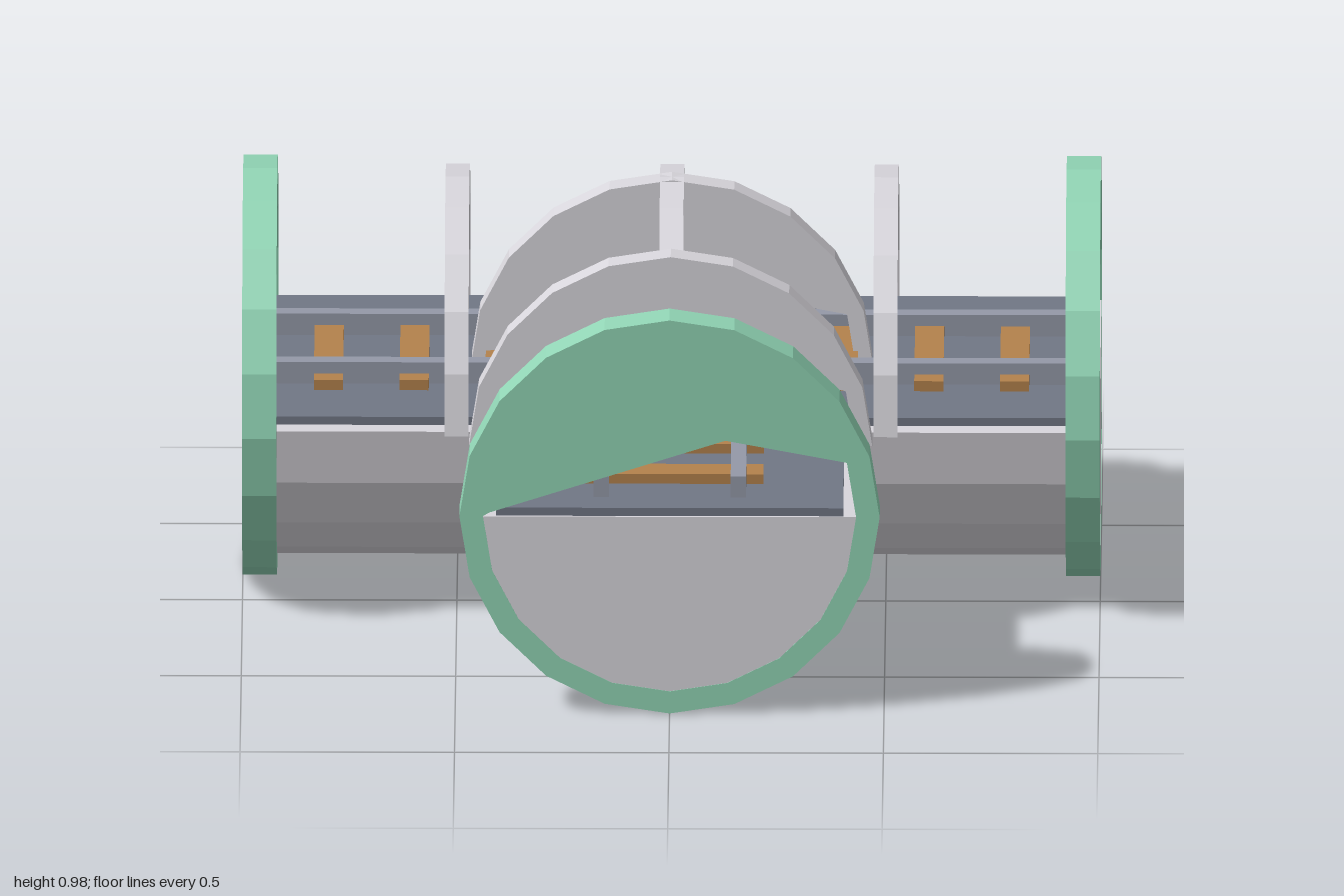
import * as THREE from 'three';

const SIDES = 20, CY = 0.49, CZ = -0.255;

// Points on a circle, from step a to step b of a 20-sided polygon
function arc(r, a, b) {
  const pts = [], dir = Math.sign(b - a);
  for (let i = a; i !== b + dir; i += dir) {
    const t = (i / SIDES) * Math.PI * 2;
    pts.push(new THREE.Vector2(Math.cos(t) * r, Math.sin(t) * r));
  }
  return pts;
}

function extrude(shape, z0, z1) {
  const g = new THREE.ExtrudeGeometry(shape, { depth: z1 - z0, bevelEnabled: false });
  return g.translate(0, 0, z0);
}

export function createModel() {
  const model = new THREE.Group();
  const mat = (name, color) => {
    const m = new THREE.MeshStandardMaterial({ color, side: THREE.DoubleSide });
    m.name = name;
    return m;
  };
  const grey = mat('light grey', 0xd8d6dc);
  const green = mat('mint green', 0x91d5b5);
  const slate = mat('slate floor', 0x717785);
  const steel = mat('rail steel', 0x9499a8);
  const wood = mat('sleeper wood', 0xb3824c);

  const add = (parent, name, geo, material) => {
    const m = new THREE.Mesh(geo, material);
    m.name = name;
    parent.add(m);
    return m;
  };
  const box = (parent, name, material, x0, x1, y0, y1, z0, z1) =>
    add(parent, name, new THREE.BoxGeometry(x1 - x0, y1 - y0, z1 - z0)
      .translate((x0 + x1) / 2, (y0 + y1) / 2, (z0 + z1) / 2), material);

  // Cross-sections shared by both tubes
  const ringShape = new THREE.Shape(arc(0.49, 0, SIDES - 1));
  ringShape.holes.push(new THREE.Path(arc(0.435, SIDES - 1, 0)));
  const archShape = new THREE.Shape([...arc(0.47, 0, 10), ...arc(0.43, 10, 0)]);
  const troughShape = new THREE.Shape(arc(0.44, 10, 20));
  const panelShape = new THREE.Shape([
    ...arc(0.437, 1, 10), new THREE.Vector2(-0.42, 0.01), new THREE.Vector2(0.13, 0.19),
  ]);

  // Each tube is built along its own z axis, centred on the polygon
  const mainTube = new THREE.Group();
  mainTube.name = 'mainTube';
  mainTube.rotation.y = Math.PI / 2;
  mainTube.position.set(0, CY, CZ);
  const branchTube = new THREE.Group();
  branchTube.name = 'branchTube';
  branchTube.position.y = CY;
  model.add(mainTube, branchTube);

  add(mainTube, 'mainTrough', extrude(troughShape, -0.999, 0.999), grey);
  for (const z of [-1, 0.92]) add(mainTube, 'endRing', extrude(ringShape, z, z + 0.08), green);
  for (const z of [-0.5, 0, 0.5])
    add(mainTube, 'mainArch', extrude(archShape, z - 0.028, z + 0.028), grey);

  add(branchTube, 'branchTrough', extrude(troughShape, CZ, 0.741), grey);
  add(branchTube, 'frontRing', extrude(ringShape, 0.663, 0.742), green);
  for (const z of [0.664, 0.741])
    add(branchTube, 'frontRingPanel', new THREE.ShapeGeometry(panelShape).translate(0, 0, z), green);
  for (const z of [-0.26, 0.245]) {
    add(branchTube, 'branchArch', extrude(archShape, z - 0.028, z + 0.028), grey);
    for (const s of [-0.027, 0.027])
      add(branchTube, 'archPanel', new THREE.ShapeGeometry(panelShape).translate(0, 0, z + s), grey);
  }

  // Jagged bulge where the branch meets the back of the main tube
  const pos = [], idx = [];
  for (let i = -1; i <= 7; i++) {
    const a = (Math.max(i, 0) / SIDES) * Math.PI * 2;
    const w = i % 2 === 0 || i < 0 ? 0.11 : 0.065;
    [-w, 0, w].forEach((x, k) => {
      const r = i < 0 || k !== 1 || i === 7 ? 0.438 : 0.472;
      pos.push(x, CY - Math.sin(a) * r, CZ - Math.cos(a) * r);
    });
  }
  for (let i = 0; i < 8; i++)
    for (let k = 0; k < 2; k++) {
      const p = i * 3 + k;
      idx.push(p, p + 1, p + 3, p + 1, p + 4, p + 3);
    }
  let bulge = new THREE.BufferGeometry();
  bulge.setAttribute('position', new THREE.Float32BufferAttribute(pos, 3));
  bulge.setIndex(idx);
  bulge = bulge.toNonIndexed();
  bulge.computeVertexNormals();
  add(model, 'backBulge', bulge, grey);

  // Floors
  box(model, 'mainFloor', slate, -0.995, 0.995, 0.485, 0.51, -0.66, 0.14);
  box(model, 'branchFloor', slate, -0.405, 0.405, 0.485, 0.51, 0.14, 0.735);

  // Track along the main tube
  for (const x of [0.2, 0.4, 0.6, 0.8])
    for (const s of [-1, 1])
      box(model, 'mainSleeper', wood, s * x - 0.034, s * x + 0.034, 0.505, 0.535, -0.475, -0.035);
  for (const z of [-0.415, -0.097])
    box(model, 'mainRail', steel, -0.925, 0.925, 0.505, 0.563, z - 0.018, z + 0.018);

  // Track along the branch
  for (const z of [-0.055, 0.142, 0.342, 0.542])
    box(model, 'branchSleeper', wood, -0.218, 0.218, 0.505, 0.534, z - 0.034, z + 0.034);
  for (const x of [-0.16, 0.16])
    box(model, 'branchRail', steel, x - 0.018, x + 0.018, 0.505, 0.562, -0.1, 0.665);

  return model;
}
